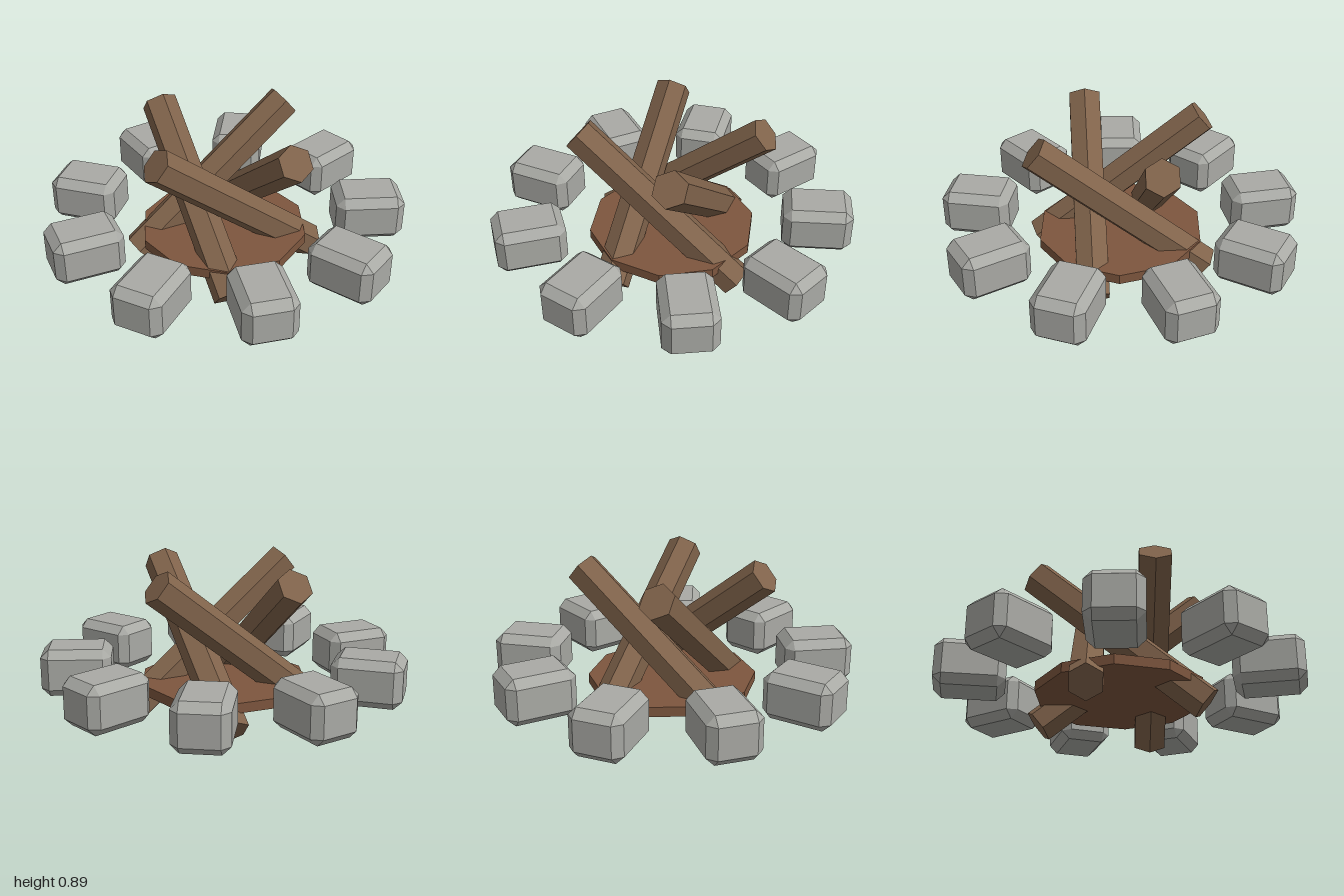
import * as THREE from 'three';
import { ConvexGeometry } from 'three/addons/geometries/ConvexGeometry.js';

const material = (color) => new THREE.MeshStandardMaterial({ color, flatShading: true });

// Box with all edges bevelled and triangular corners
function bevelledBox(w, h, d, b) {
  const points = [];
  for (const sx of [-1, 1]) for (const sy of [-1, 1]) for (const sz of [-1, 1]) {
    const x = w / 2, y = h / 2, z = d / 2;
    points.push(
      new THREE.Vector3(sx * x, sy * (y - b), sz * (z - b)),
      new THREE.Vector3(sx * (x - b), sy * y, sz * (z - b)),
      new THREE.Vector3(sx * (x - b), sy * (y - b), sz * z),
    );
  }
  return new ConvexGeometry(points);
}

export function createModel() {
  const model = new THREE.Group();
  model.name = 'campfire';
  const deg = THREE.MathUtils.degToRad;
  const add = (name, geometry, mat) => {
    const mesh = new THREE.Mesh(geometry, mat);
    mesh.name = name;
    model.add(mesh);
    return mesh;
  };

  // Ring of nine stones, long side pointing outwards
  const stone = bevelledBox(0.38, 0.26, 0.29, 0.045);
  const stoneMat = material(0xa9aaa5);
  const ringRadius = 0.805;
  for (let i = 0; i < 9; i++) {
    const a = deg(i * 40);
    const mesh = add(`stone${i + 1}`, stone, stoneMat);
    mesh.position.set(ringRadius * Math.cos(a), 0.29, -ringRadius * Math.sin(a));
    mesh.rotation.y = a;
  }

  // Four hexagonal logs leaning past each other, ridge upwards
  const log = new THREE.CylinderGeometry(0.098, 0.098, 1.17, 6);
  log.rotateX(deg(51));
  log.rotateY(deg(-67.4));
  log.translate(0.06, 0.446, 0.165);
  const logMat = material(0x80634b);
  for (let i = 0; i < 4; i++) {
    add(`log${i + 1}`, log, logMat).rotation.y = i * Math.PI / 2;
  }

  // Flat ember bed under the logs
  const bed = add('emberBed', new THREE.CylinderGeometry(0.465, 0.465, 0.055, 10), material(0x7d563e));
  bed.position.y = 0.197;

  // The odd number of stones makes the ring uneven in x, so shift it to centre
  model.children.forEach((part) => { part.position.x -= 0.015; });
  return model;
}
